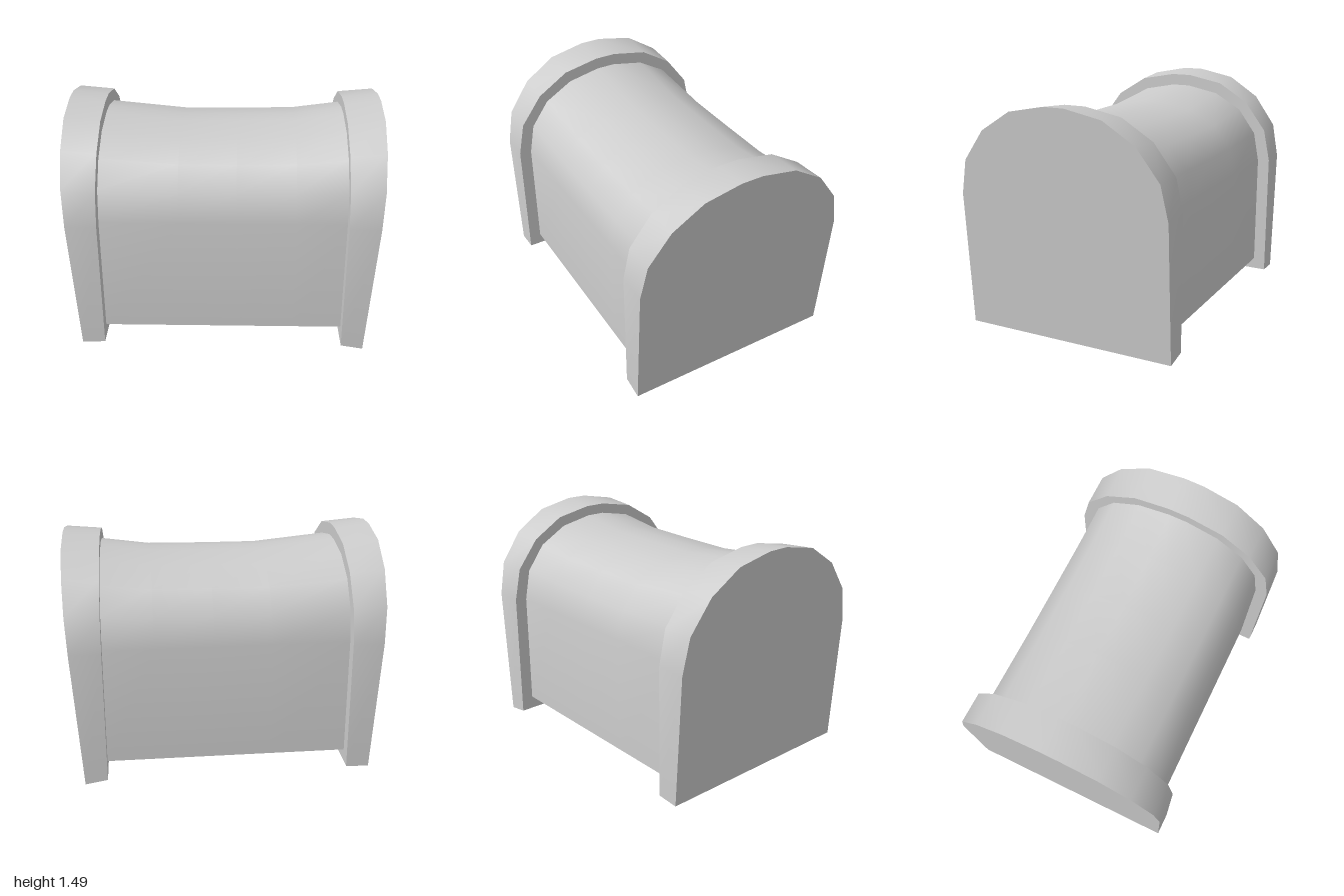
import * as THREE from 'three';
import { toCreasedNormals } from 'three/addons/utils/BufferGeometryUtils.js';

// Arched outline as [z, y] points, running from the +z foot over the top to the -z foot
function archRing(half, bottom) {
  const pts = [[half[0][0], bottom], ...half];
  return [...pts, ...pts.map(([z, y]) => [-z, y]).reverse()];
}

// Skin a row of rings (ordered along +x), optionally closing both ends
function loft(rings, closed) {
  const n = rings[0].length, index = [];
  for (let i = 0; i < rings.length - 1; i++) {
    for (let j = 0; j < n; j++) {
      const k = (j + 1) % n;
      const a = i * n + j, b = i * n + k, c = a + n, d = b + n;
      index.push(a, c, d, a, d, b);
    }
  }
  if (closed) {
    const e = (rings.length - 1) * n;
    for (let k = 1; k < n - 1; k++) {
      index.push(0, k, k + 1, e, e + k + 1, e + k);
    }
  }
  const geo = new THREE.BufferGeometry();
  geo.setAttribute('position', new THREE.Float32BufferAttribute(rings.flat(2), 3));
  geo.setIndex(index);
  return toCreasedNormals(geo.toNonIndexed(), 0.6);
}

export function createModel() {
  const group = new THREE.Group();
  const add = (name, geo, side = THREE.FrontSide) => {
    const mesh = new THREE.Mesh(geo, new THREE.MeshStandardMaterial({ color: 0xcccccc, side }));
    mesh.name = name;
    group.add(mesh);
  };

  // Body: arched tunnel whose crown sags towards the middle
  const bodyHalf = [[0.623, 0.87], [0.585, 1.07], [0.465, 1.235], [0.28, 1.342], [0.063, 1.385]];
  const stations = [[-0.77, 0], [-0.28, 0.053], [0.08, 0.052], [0.45, 0.046], [0.765, 0]];
  const bodyRings = stations.map(([x, sag]) => {
    const half = bodyHalf.map(([z, y]) => [z, y - sag * (y - 0.87) / 0.515]);
    return archRing(half, 0.113).map(([z, y]) => [x, y, z]);
  });
  add('body', loft(bodyRings, false), THREE.DoubleSide);

  // End plates: flat inner face, outer face leaning outwards towards the top
  const plateHalf = [[0.705, 0.88], [0.66, 1.105], [0.515, 1.305], [0.31, 1.437], [0.07, 1.485]];
  const plateRing = (bottom, top, xBottom, xTop) => {
    const half = plateHalf.map(([z, y]) => [z, y - (1.485 - top) * (y - 0.88) / 0.605]);
    return archRing(half, bottom).map(([z, y]) =>
      [xBottom + (xTop - xBottom) * (y - bottom) / (top - bottom), y, z]);
  };
  add('rightEndPlate', loft([
    plateRing(0.03, 1.485, -0.915, -1), plateRing(0.036, 1.463, -0.77, -0.77),
  ], true));
  add('leftEndPlate', loft([
    plateRing(0.024, 1.453, 0.765, 0.765), plateRing(0, 1.475, 0.906, 1),
  ], true));

  return group;
}
